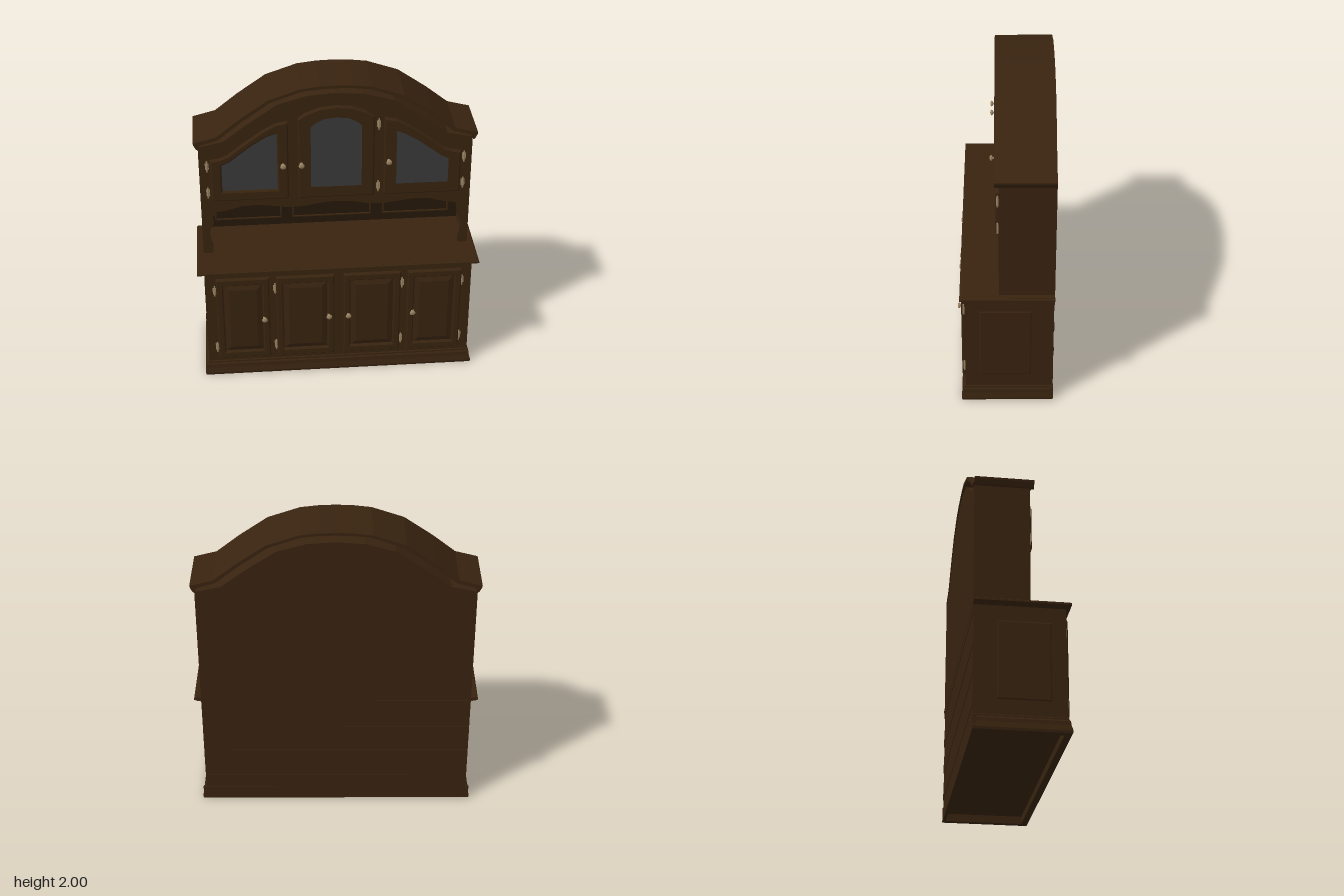
import * as THREE from 'three';

const mat = (name, color) => {
  const m = new THREE.MeshStandardMaterial({ color, side: THREE.DoubleSide });
  m.name = name;
  return m;
};

export function createModel() {
  const root = new THREE.Group();
  root.name = 'hutchCabinet';
  const wood = mat('darkWood', 0x38230f);
  const shade = mat('alcoveWood', 0x261809);
  const glass = mat('greyGlass', 0x3a3a3a);
  const metal = mat('agedBrass', 0x9a8463);

  const add = (name, geo, material, x = 0, y = 0, z = 0, parent = root) => {
    const mesh = new THREE.Mesh(geo, material);
    mesh.name = name;
    mesh.position.set(x, y, z);
    parent.add(mesh);
    return mesh;
  };
  // Box given by its limits
  const box = (name, x0, x1, y0, y1, z0, z1, m = wood, parent = root) =>
    add(name, new THREE.BoxGeometry(x1 - x0, y1 - y0, z1 - z0), m,
      (x0 + x1) / 2, (y0 + y1) / 2, (z0 + z1) / 2, parent);
  // Outline extruded from z0 to z1, with holes and an optional bevelled front
  const slab = (name, pts, holes, z0, z1, m = wood, bevel = 0, bevelDepth = bevel, parent = root) => {
    const v = (list) => list.map(([x, y]) => new THREE.Vector2(x, y));
    const shape = new THREE.Shape(v(pts));
    holes.forEach((h) => shape.holes.push(new THREE.Path(v(h))));
    const geo = new THREE.ExtrudeGeometry(shape, {
      depth: z1 - z0 - bevelDepth, bevelEnabled: bevel > 0, bevelSegments: 1,
      bevelSize: bevel, bevelOffset: -bevel, bevelThickness: bevelDepth,
    });
    return add(name, geo, m, 0, 0, z0, parent);
  };
  const rect = (x0, x1, y0, y1) => [[x0, y0], [x1, y0], [x1, y1], [x0, y1]];
  const flip = (pts) => pts.map(([x, y]) => [-x, y]);
  // Left half (ending on x = 0) mirrored to a full line
  const mirror = (half) => [...half, ...flip(half.slice(0, -1)).reverse()];

  // Moulding swept round the right, front and left sides; profile is [offset, y]
  const moulding = (name, profile, X, Z) => {
    const pos = [];
    const ring = ([o, y]) => [[-X - o, y, -0.3], [-X - o, y, Z + o], [X + o, y, Z + o], [X + o, y, -0.3]];
    for (let i = 0; i < profile.length - 1; i++) {
      const a = ring(profile[i]), b = ring(profile[i + 1]);
      for (let k = 0; k < 3; k++) pos.push(...a[k], ...a[k + 1], ...b[k + 1], ...a[k], ...b[k + 1], ...b[k]);
    }
    const geo = new THREE.BufferGeometry();
    geo.setAttribute('position', new THREE.Float32BufferAttribute(pos, 3));
    geo.computeVertexNormals();
    return add(name, geo, wood);
  };

  // Hardware
  const knobGeo = new THREE.LatheGeometry(
    [[0.012, 0], [0.012, 0.004], [0.006, 0.007], [0.006, 0.018], [0.016, 0.024], [0.019, 0.029], [0.013, 0.036], [0, 0.038]]
      .map(([x, y]) => new THREE.Vector2(x, y)), 12);
  knobGeo.rotateX(Math.PI / 2);
  const hingeGeo = new THREE.LatheGeometry(
    [[0, -0.042], [0.006, -0.037], [0.003, -0.031], [0.007, -0.028], [0.007, 0.028], [0.003, 0.031], [0.006, 0.037], [0, 0.042]]
      .map(([x, y]) => new THREE.Vector2(x, y)), 8);
  const knob = (x, y, z) => add('knob', knobGeo, metal, x, y, z);
  const hinge = (x, y, z) => {
    const g = new THREE.Group();
    g.name = 'hinge';
    g.position.set(x, y, z);
    add('hingePin', hingeGeo, metal, 0, 0, 0.007, g);
    box('hingeLeaf', -0.012, 0.012, -0.022, 0.022, 0, 0.004, metal, g);
    root.add(g);
  };

  // Base cabinet
  box('baseBody', -0.86, 0.86, 0.05, 0.795, -0.297, 0.25);
  moulding('plinth', [[-0.02, 0.05], [-0.02, 0], [0.022, 0], [0.025, 0.015], [0.015, 0.05], [0.013, 0.075], [0.006, 0.085], [0.006, 0.095], [0, 0.1]], 0.86, 0.25);
  box('plinthBack', -0.88, 0.88, 0, 0.09, -0.3, -0.28);
  box('counterTop', -0.895, 0.895, 0.795, 0.814, -0.3, 0.27);
  moulding('counterEdge', [[0, 0.785], [0.03, 0.79], [0.044, 0.797], [0.044, 0.807], [0.034, 0.814]], 0.86, 0.235);
  for (const [y0, y1] of [[0.15, 0.19], [0.34, 0.4], [0.53, 0.585], [0.74, 0.79]])
    box('backRail', -0.86, 0.86, y0, y1, -0.3, -0.296);
  for (const s of [-1, 1]) {
    const g = new THREE.Group();
    g.name = 'sidePanel';
    slab('sidePanelField', rect(-0.16, 0.16, 0.195, 0.69), [], 0, 0.005, wood, 0.008, 0.004, g);
    g.rotation.y = s * Math.PI / 2;
    g.position.x = s * 0.859;
    root.add(g);
  }

  // Lower doors with raised panels
  for (const [x0, x1] of [[-0.79, -0.45], [-0.405, -0.03], [0.03, 0.4], [0.445, 0.795]]) {
    slab('lowerDoorFrame', rect(x0, x1, 0.13, 0.75), [rect(x0 + 0.045, x1 - 0.045, 0.18, 0.7)], 0.25, 0.272, wood, 0.008);
    slab('lowerDoorPanel', rect(x0 + 0.047, x1 - 0.047, 0.182, 0.698), [], 0.25, 0.268, wood, 0.035, 0.014);
  }
  for (const x of [-0.485, -0.065, 0.06, 0.48]) knob(x, 0.44, 0.266);
  for (const x of [-0.8, -0.412, 0.41, 0.8]) for (const y of [0.215, 0.66]) hinge(x, y, 0.25);

  // Upper cabinet
  const arch = mirror([[-0.86, 1.595], [-0.7, 1.63], [-0.57, 1.73], [-0.36, 1.873], [-0.175, 1.925], [0, 1.938]]);
  slab('upperBody', [[0.86, 1.19], [-0.86, 1.19], ...arch], [], -0.3, 0.02);
  for (const s of [-1, 1]) box('alcoveSide', s * 0.85 - 0.01, s * 0.85 + 0.01, 0.814, 1.19, -0.3, 0.02);
  box('upperBack', -0.84, 0.84, 0.814, 1.19, -0.3, -0.28);
  box('alcoveBack', -0.84, 0.84, 0.814, 1.19, -0.28, -0.275, shade);
  for (const [x0, x1] of [[-0.78, -0.335], [-0.265, 0.26], [0.335, 0.78]])
    slab('alcovePanelTrim', rect(x0, x1, 0.865, 1.13), [rect(x0 + 0.012, x1 - 0.012, 0.877, 1.118)], -0.275, -0.267, wood, 0.003);

  // Face frame with scalloped apron and shaped brackets
  const apron = mirror([[-0.8, 0.814], [-0.795, 0.86], [-0.81, 0.92], [-0.815, 0.97], [-0.8, 1.01], [-0.785, 1.04], [-0.79, 1.08],
    [-0.77, 1.12], [-0.7, 1.13], [-0.6, 1.157], [-0.5, 1.162], [-0.4, 1.15], [-0.3, 1.135], [-0.2, 1.14], [-0.1, 1.16], [0, 1.167]]);
  slab('faceFrame', [[-0.86, 0.814], ...arch, [0.86, 0.814], ...apron.slice().reverse()], [], 0.02, 0.04);

  // Upper glazed doors
  const glazed = (name, outer, pane) => {
    slab(name + 'Frame', outer, [pane], 0.04, 0.062, wood, 0.01);
    slab(name + 'Glass', pane, [], 0.041, 0.046, glass);
  };
  const sideOuter = [[-0.79, 1.21], [-0.3, 1.21], [-0.3, 1.76], [-0.38, 1.745], [-0.46, 1.7], [-0.6, 1.6], [-0.68, 1.535], [-0.73, 1.515], [-0.79, 1.505]];
  const sidePane = [[-0.72, 1.28], [-0.37, 1.28], [-0.37, 1.68], [-0.43, 1.66], [-0.52, 1.605], [-0.67, 1.49], [-0.72, 1.465]];
  glazed('rightUpperDoor', sideOuter, sidePane);
  glazed('leftUpperDoor', flip(sideOuter), flip(sidePane));
  glazed('middleUpperDoor',
    [[0.24, 1.21], [-0.24, 1.21], ...mirror([[-0.24, 1.775], [-0.19, 1.81], [-0.1, 1.845], [0, 1.855]])],
    [[0.17, 1.28], [-0.17, 1.28], ...mirror([[-0.17, 1.72], [-0.14, 1.75], [-0.08, 1.782], [0, 1.79]])]);
  for (const x of [-0.335, -0.22, 0.33]) knob(x, 1.46, 0.058);
  for (const [x, y] of [[-0.81, 1.27], [-0.81, 1.46], [0.81, 1.27], [0.81, 1.46], [0.267, 1.27], [0.267, 1.715]]) hinge(x, y, 0.04);

  // Arched crown standing clear of the cabinet top, closed at both ends
  const crownTop = mirror([[-0.888, 1.638], [-0.745, 1.675], [-0.6, 1.79], [-0.42, 1.915], [-0.22, 1.983], [-0.1, 1.997], [0, 2]]);
  const crownUnder = mirror([[-0.858, 1.59], [-0.848, 1.622], [-0.735, 1.655], [-0.59, 1.77], [-0.41, 1.897], [-0.215, 1.966], [-0.1, 1.979], [0, 1.982]]);
  slab('crown', [[-0.87, 1.595], [-0.885, 1.625], ...crownTop, [0.885, 1.625], [0.87, 1.595], ...crownUnder.slice().reverse()], [], -0.3, 0.065);

  return root;
}
